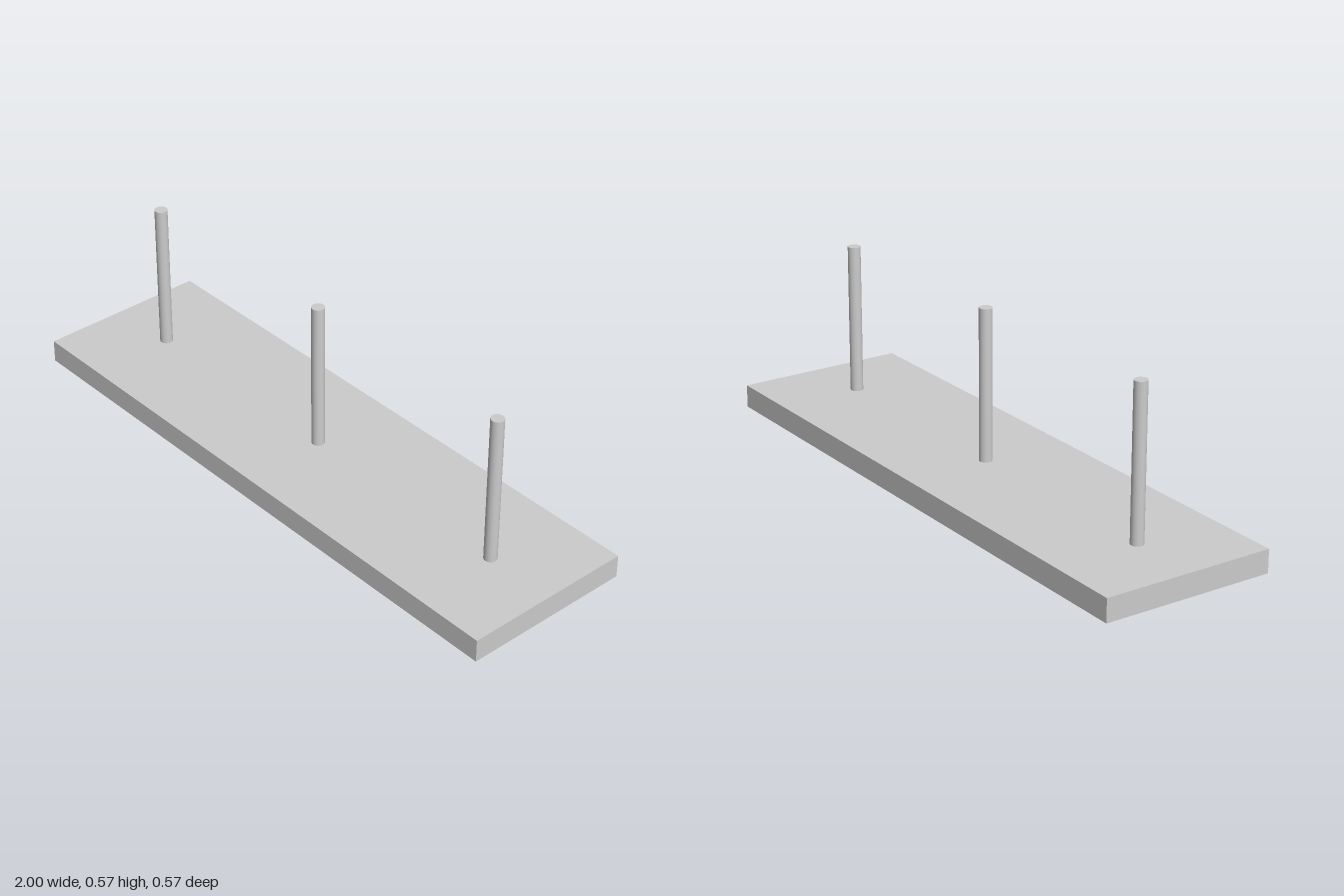
import * as THREE from 'three';

const BASE_HEIGHT = 0.076;
const PEG_TOP = 0.573;
const PEG_RADIUS = 0.021;
const PEG_SPACING = 0.762;

export function createModel() {
  const model = new THREE.Group();
  model.name = 'pegBoard';
  const material = new THREE.MeshStandardMaterial({ color: 0xcccccc });

  // Flat rectangular base
  const base = new THREE.Mesh(new THREE.BoxGeometry(2, BASE_HEIGHT, 0.573), material);
  base.name = 'base';
  base.position.y = BASE_HEIGHT / 2;
  model.add(base);

  // Three upright round pegs standing on the base
  const pegHeight = PEG_TOP - BASE_HEIGHT;
  const pegGeometry = new THREE.CylinderGeometry(PEG_RADIUS, PEG_RADIUS, pegHeight, 32);
  ['rightPeg', 'middlePeg', 'leftPeg'].forEach((name, i) => {
    const peg = new THREE.Mesh(pegGeometry, material);
    peg.name = name;
    peg.position.set((i - 1) * PEG_SPACING, BASE_HEIGHT + pegHeight / 2, 0);
    model.add(peg);
  });

  return model;
}
